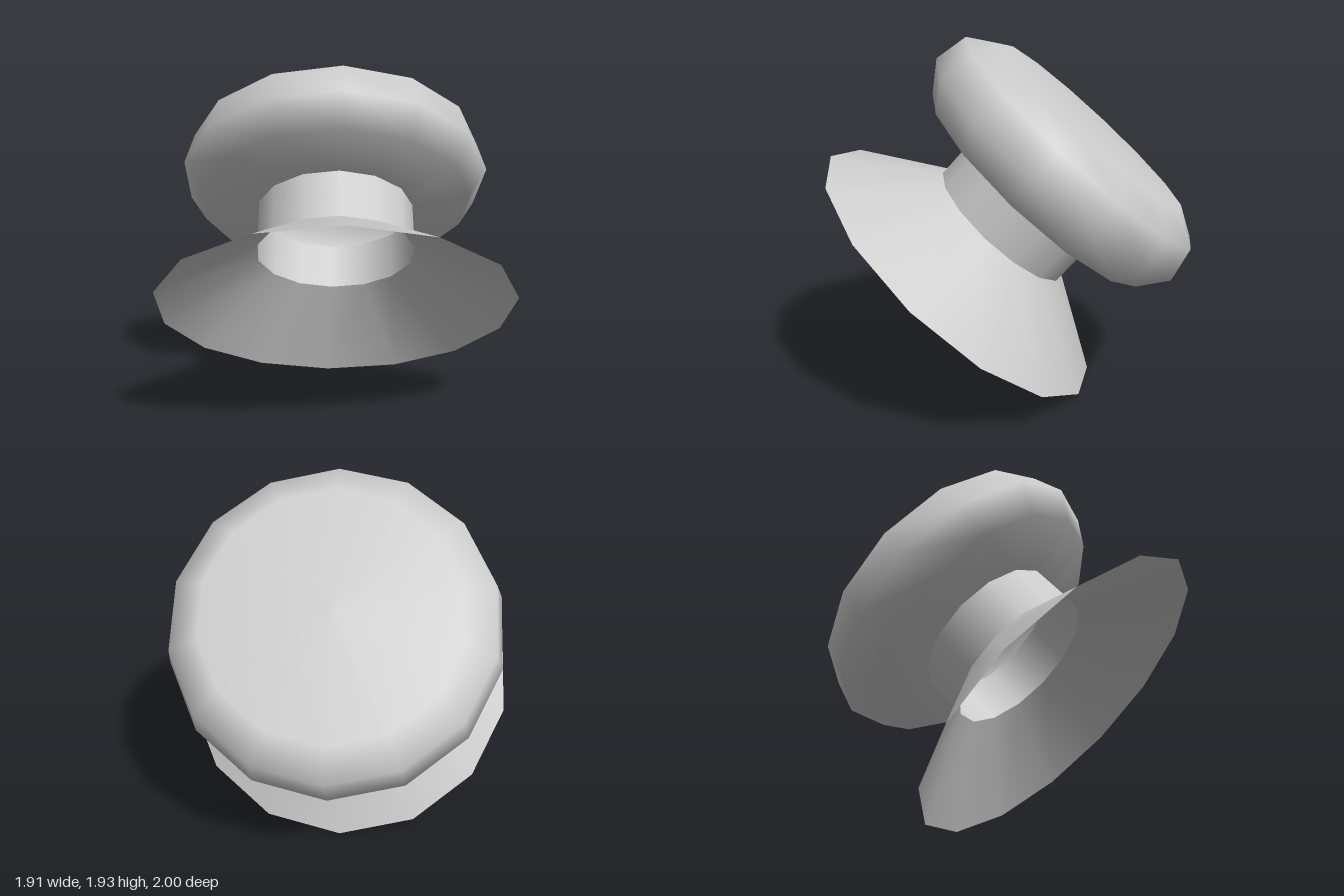
import * as THREE from 'three';

export function createModel() {
  const grey = new THREE.MeshStandardMaterial({ color: 0xcccccc, side: THREE.DoubleSide });
  grey.name = 'plain grey';

  const SIDES = 14;
  const PHASE = 0.046; // slight twist of the polygon about its axis

  const knob = new THREE.Group();
  knob.name = 'knob';

  // Each part is a thin shell turned around the tilted axis: [radius, height] pairs
  const turn = (name, profile) => {
    const points = profile.map(([r, h]) => new THREE.Vector2(r, h));
    const mesh = new THREE.Mesh(new THREE.LatheGeometry(points, SIDES, PHASE, Math.PI * 2), grey);
    mesh.name = name;
    knob.add(mesh);
  };

  // Open flared foot
  turn('flaredBase', [[0.969, 0], [0.443, 0.342]]);
  // Open tube joining foot and cap
  turn('neck', [[0.443, 0.342], [0.443, 0.613]]);
  // Hollow rounded cap with a flat top
  turn('cap', [
    [0.443, 0.613], [0.77, 0.645], [0.874, 0.803], [0.83, 0.992], [0.662, 1.091], [0, 1.096],
  ]);

  // Lean the whole knob backwards
  knob.rotation.x = -0.725;
  knob.position.set(0, 0.6425, 0.275);

  const model = new THREE.Group();
  model.name = 'tiltedKnob';
  model.add(knob);
  return model;
}
